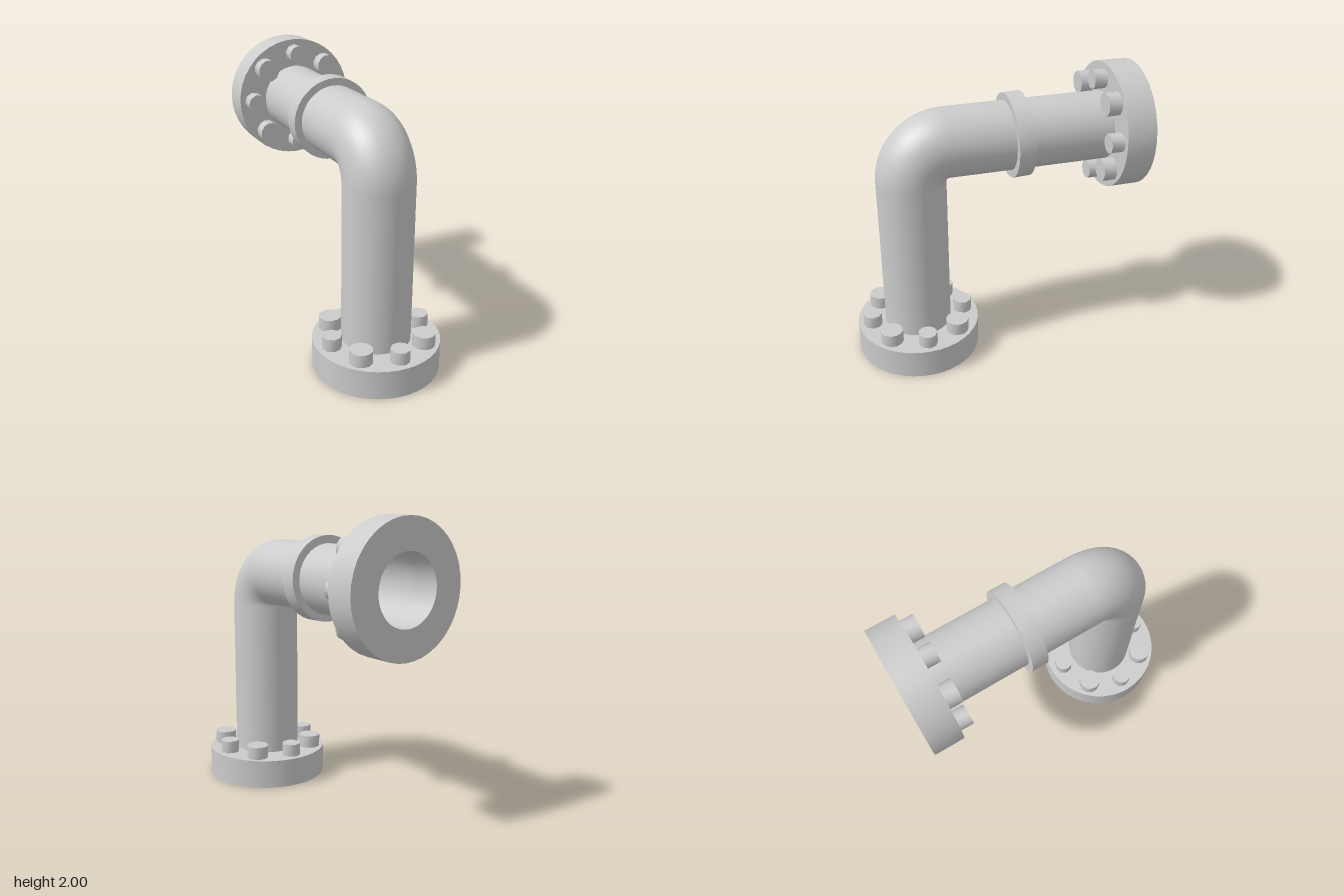
import * as THREE from 'three';
import { toCreasedNormals } from 'three/addons/utils/BufferGeometryUtils.js';

const PIPE_R = 0.237, AXIS = 0.56, BEND = 0.24, HEIGHT = 1.56;
const SIDES = 40;

export function createModel() {
  const model = new THREE.Group();
  model.name = 'flangedPipeElbow';
  const solid = new THREE.MeshStandardMaterial({ color: 0xcccccc });
  const open = new THREE.MeshStandardMaterial({ color: 0xcccccc, side: THREE.DoubleSide });

  const add = (parent, name, geometry, material = solid) => {
    const mesh = new THREE.Mesh(geometry, material);
    mesh.name = name;
    parent.add(mesh);
    return mesh;
  };

  // Solid ring around y with a rectangular section, from y = 0 up
  const ring = (inner, outer, height) => {
    const profile = [[inner, 0], [outer, 0], [outer, height], [inner, height], [inner, 0]]
      .map(([r, y]) => new THREE.Vector2(r, y));
    return toCreasedNormals(new THREE.LatheGeometry(profile, SIDES), 0.6);
  };

  // Hollow pipe: upright run, quarter bend, run to the back
  const pipe = new THREE.Group();
  pipe.name = 'pipe';
  model.add(pipe);
  const run = (name, length) => add(pipe, name,
    new THREE.CylinderGeometry(PIPE_R, PIPE_R, length, SIDES, 1, true), open);

  const bendY = HEIGHT - BEND, bendZ = AXIS - BEND;
  const low = 0.19, back = -0.81;
  run('uprightPipe', bendY - low).position.set(0, (bendY + low) / 2, AXIS);
  const level = run('levelPipe', bendZ - back);
  level.rotation.x = Math.PI / 2;
  level.position.set(0, HEIGHT, (bendZ + back) / 2);
  const bend = add(pipe, 'elbow',
    new THREE.TorusGeometry(BEND, PIPE_R, SIDES, 16, Math.PI / 2), open);
  bend.rotation.y = -Math.PI / 2;
  bend.position.set(0, bendY, bendZ);

  // Flange with eight bolts, alternating small and large
  const makeFlange = (name) => {
    const group = new THREE.Group();
    group.name = name;
    add(group, 'flangeDisc', ring(0.232, 0.437, 0.205));
    for (let i = 0; i < 8; i++) {
      const large = i % 2 === 1;
      const radius = large ? 0.079 : 0.067;
      const geometry = toCreasedNormals(
        new THREE.CylinderGeometry(radius, radius, 0.1, large ? 12 : 9), 0.8);
      const bolt = add(group, 'bolt', geometry);
      const a = i * Math.PI / 4;
      bolt.position.set(0.333 * Math.sin(a), 0.245, 0.333 * Math.cos(a));
      bolt.rotation.y = a;
    }
    model.add(group);
    return group;
  };
  makeFlange('bottomFlange').position.z = AXIS;
  const rear = makeFlange('rearFlange');
  rear.position.set(0, HEIGHT, -1);
  rear.rotation.x = Math.PI / 2;

  // Slightly tilted collar on the level run
  const collar = add(model, 'collar', ring(0.23, 0.289, 0.114).translate(0, -0.057, 0));
  collar.position.set(0, HEIGHT, -0.165);
  collar.rotation.x = Math.PI / 2 + 0.032;

  return model;
}
